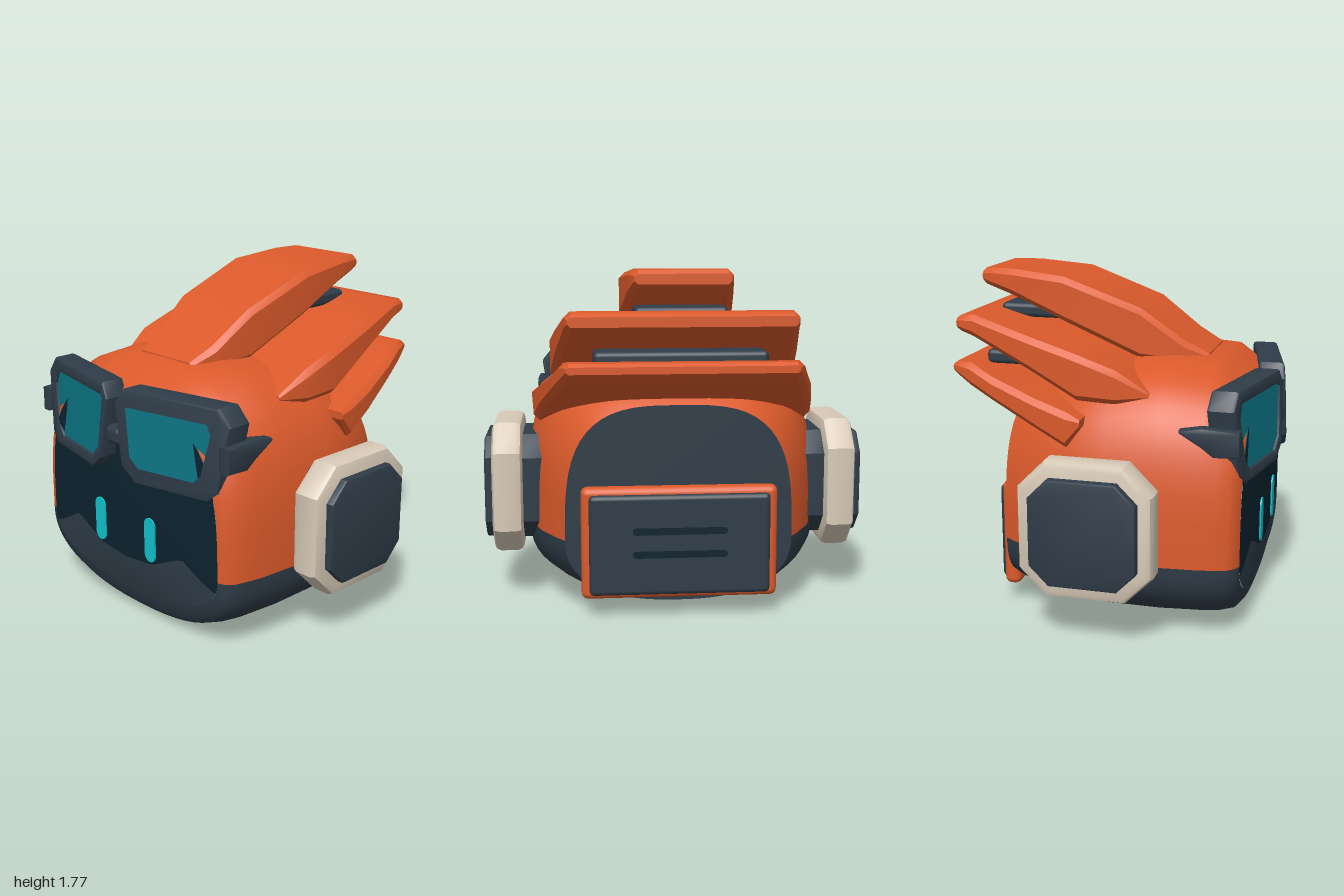
import * as THREE from 'three';
import { toCreasedNormals } from 'three/addons/utils/BufferGeometryUtils.js';
import { RoundedBoxGeometry } from 'three/addons/geometries/RoundedBoxGeometry.js';

const mat = (name, color, side = THREE.FrontSide) => {
  const m = new THREE.MeshStandardMaterial({ color, side });
  m.name = name;
  return m;
};

// Surface through cross-sections ordered front to back, each counter-clockwise seen from +z
function loft(rings, { closed = true, capFront = closed, capBack = closed, crease = 0.6 } = {}) {
  const n = rings[0].length, pos = rings.flat(2), idx = [];
  for (let i = 0; i < rings.length - 1; i++) {
    for (let j = 0; j < (closed ? n : n - 1); j++) {
      const k = (j + 1) % n, a = i * n + j, b = i * n + k, c = b + n, d = a + n;
      idx.push(a, d, c, a, c, b);
    }
  }
  const last = (rings.length - 1) * n;
  for (let j = 1; j < n - 1; j++) {
    if (capFront) idx.push(0, j, j + 1);
    if (capBack) idx.push(last, last + j + 1, last + j);
  }
  const g = new THREE.BufferGeometry();
  g.setAttribute('position', new THREE.Float32BufferAttribute(pos, 3));
  g.setIndex(idx);
  return toCreasedNormals(g, crease);
}

const shapeOf = (pts, s = 1) => new THREE.Shape(pts.map(([x, y]) => new THREE.Vector2(s * x, y)));

function bevelled(shape, depth, bevel) {
  const g = new THREE.ExtrudeGeometry(shape, {
    depth: depth - 2 * bevel, bevelThickness: bevel, bevelSize: bevel, bevelOffset: -bevel,
    bevelSegments: 2, curveSegments: 6,
  });
  return toCreasedNormals(g.translate(0, 0, bevel), 0.6);
}

// Octagon with half sizes a, b and corner cut c
const octagon = (a, b, c) => shapeOf([
  [a, -b + c], [a, b - c], [a - c, b], [-a + c, b], [-a, b - c], [-a, -b + c], [-a + c, -b], [a - c, -b]]);

// Thin stadium-shaped plate
function pill(w, h) {
  const r = Math.min(w, h) / 2, x = w / 2 - r, y = h / 2 - r, s = new THREE.Shape();
  s.absarc(x, y, r, 0, Math.PI / 2);
  s.absarc(-x, y, r, Math.PI / 2, Math.PI);
  s.absarc(-x, -y, r, Math.PI, Math.PI * 1.5);
  s.absarc(x, -y, r, Math.PI * 1.5, Math.PI * 2);
  return new THREE.ExtrudeGeometry(s, { depth: 0.008, bevelEnabled: false, curveSegments: 6 });
}

const SEAM = 0.4, UP = 3.2, LOW = 2.4;
// Half of a superellipse cross-section, above (dir 1) or below (dir -1) the seam
function arc(z, w, limit, dir) {
  const n = dir > 0 ? UP : LOW, pts = [];
  for (let i = 0; i <= 28; i++) {
    const t = Math.PI * i / 28, c = Math.cos(t);
    pts.push([dir * w * Math.sign(c) * Math.abs(c) ** (2 / n),
      SEAM + (limit - SEAM) * Math.abs(Math.sin(t)) ** (2 / n), z]);
  }
  return pts;
}

export function createModel() {
  const root = new THREE.Group();
  root.name = 'robotHead';
  const orange = mat('orange shell', 0xdb5a2b);
  const slate = mat('slate', 0x2f3c48);
  const navy = mat('dark face', 0x0c222e);
  const teal = mat('lens teal', 0x0b7482, THREE.DoubleSide);
  const cyan = mat('eye cyan', 0x10c2cc);
  const cream = mat('cream', 0xd8cab7);
  const add = (name, geo, material, x = 0, y = 0, z = 0, parent = root) => {
    const m = new THREE.Mesh(geo, material);
    m.name = name;
    m.position.set(x, y, z);
    parent.add(m);
    return m;
  };

  // Head shell: [z, half width, top, bottom]
  const head = [
    [0.69, 0.66, 1.2, 0.16], [0.675, 0.7, 1.225, 0.08], [0.64, 0.73, 1.25, 0.035], [0.57, 0.75, 1.3, 0.015],
    [0.5, 0.765, 1.35, 0.008], [0.27, 0.785, 1.365, 0], [0, 0.785, 1.345, 0], [-0.15, 0.77, 1.31, 0.01],
    [-0.35, 0.7, 1.22, 0.04], [-0.5, 0.62, 1.14, 0.06], [-0.56, 0.58, 1.09, 0.075]];
  const upper = head.map(([z, w, top]) => arc(z, w, top, 1));
  const lower = head.map(([z, w, , bot]) => arc(z, w, bot, -1));
  add('upperShell', loft(upper, { closed: false }), orange);
  add('lowerShell', loft(lower, { closed: false }), slate);
  const back = [...upper.at(-1), ...lower.at(-1).slice(1, -1)];
  add('backPanel', loft([back], { capFront: false }), slate);

  // Slightly domed front, divided into face screen and chin by a wavy line
  const [fz, fw, ft, fb] = head[0];
  const wave = [[0, 0.33], [0.2, 0.35], [0.34, 0.415], [0.42, 0.45], [0.55, 0.375], [0.66, 0.33]];
  const waveAt = (x) => {
    const i = Math.max(1, wave.findIndex((p) => p[0] >= x - 1e-6));
    const [a, b] = [wave[i - 1], wave[i]];
    return a[1] + (b[1] - a[1]) * (x - a[0]) / (b[0] - a[0]);
  };
  const faceStrip = (isFace) => {
    const rows = [];
    for (let r = 0; r <= 8; r++) {
      const row = [];
      for (let i = 0; i <= 40; i++) {
        const u = -Math.cos(Math.PI * i / 40), q = Math.abs(u);
        const top = SEAM + (ft - SEAM) * Math.max(0, 1 - q ** UP) ** (1 / UP);
        const bot = SEAM - (SEAM - fb) * Math.max(0, 1 - q ** LOW) ** (1 / LOW);
        const mid = Math.min(top, Math.max(bot, waveAt(q * fw)));
        const y = isFace ? mid + (top - mid) * r / 8 : bot + (mid - bot) * r / 8;
        const v = y > SEAM ? (y - SEAM) / (ft - SEAM) : (SEAM - y) / (SEAM - fb);
        row.push([u * fw, y, fz + 0.032 * Math.max(0, 1 - u * u) * Math.max(0, 1 - v * v)]);
      }
      rows.push(row);
    }
    return loft(rows.reverse(), { closed: false });
  };
  add('faceScreen', faceStrip(true), navy);
  add('chin', faceStrip(false), slate);

  // Swept hair slabs: [z, top, bottom, half width]
  const slab = (st) => loft(st.map(([z, t, b, w]) => {
    const c = Math.min(0.03, (t - b) * 0.3);
    return [[w, b + c, z], [w, t - c, z], [w - c, t, z], [-w + c, t, z],
      [-w, t - c, z], [-w, b + c, z], [-w + c, b, z], [w - c, b, z]];
  }), { crease: 0.55 });
  add('hairTop', slab([[0.43, 1.36, 1.3, 0.2], [0.3, 1.43, 1.3, 0.24], [0.08, 1.59, 1.33, 0.275],
    [-0.33, 1.74, 1.51, 0.29], [-0.62, 1.768, 1.63, 0.26], [-0.77, 1.768, 1.68, 0.24], [-0.79, 1.75, 1.7, 0.23]]), orange);
  add('hairMiddle', slab([[0.21, 1.23, 1.2, 0.6], [0.05, 1.34, 1.17, 0.65], [-0.15, 1.41, 1.18, 0.65],
    [-0.4, 1.48, 1.31, 0.62], [-0.72, 1.572, 1.46, 0.57], [-0.79, 1.565, 1.485, 0.56], [-0.81, 1.55, 1.5, 0.55]]), orange);
  add('hairLower', slab([[-0.1, 1.11, 1.07, 0.75], [-0.18, 1.14, 0.96, 0.74], [-0.35, 1.19, 1.04, 0.71],
    [-0.6, 1.27, 1.15, 0.64], [-0.73, 1.33, 1.21, 0.6], [-0.81, 1.33, 1.26, 0.57], [-0.83, 1.315, 1.28, 0.56]]), orange);
  add('hairSpacerUpper', new RoundedBoxGeometry(0.46, 0.075, 0.5, 2, 0.025), slate, 0, 1.55, -0.44);
  add('hairSpacerLower', new RoundedBoxGeometry(0.86, 0.075, 0.5, 2, 0.025), slate, 0, 1.335, -0.45);

  // Back pack with two vents
  add('packRim', new RoundedBoxGeometry(1.0, 0.58, 0.09, 2, 0.035), orange, 0, 0.39, -0.57);
  add('packCover', new RoundedBoxGeometry(0.92, 0.52, 0.08, 2, 0.025), slate, 0, 0.385, -0.6);
  for (const y of [0.46, 0.34]) add('packVent', pill(0.48, 0.035), navy, 0, y, -0.646);

  // Eyewear outlines for one side
  const rim = [[0.03, 1.2], [0.08, 1.275], [0.64, 1.275], [0.71, 1.19], [0.66, 0.86], [0.6, 0.805], [0.17, 0.805], [0.08, 0.88]];
  const hole = [[0.085, 1.19], [0.1, 1.205], [0.595, 1.205], [0.625, 1.14], [0.575, 0.92], [0.525, 0.87], [0.185, 0.87], [0.12, 0.93]];
  // Sweeps the flat eyewear back toward the temples
  const sweep = (g) => {
    const p = g.attributes.position;
    for (let i = 0; i < p.count; i++) {
      p.setZ(i, p.getZ(i) - 0.21 * Math.abs(p.getX(i)) - 0.06 * (p.getY(i) - 0.8));
    }
    return toCreasedNormals(g, 0.6);
  };

  for (const s of [1, -1]) {
    const side = s > 0 ? 'left' : 'right';
    add(side + 'Eye', pill(0.08, 0.24), cyan, s * 0.2, 0.49, 0.722);

    // Glasses
    const frame = shapeOf(rim, s);
    frame.holes.push(new THREE.Path(hole.map(([x, y]) => new THREE.Vector2(s * x, y))));
    add(side + 'GlassesFrame', sweep(bevelled(frame, 0.14, 0.018).translate(0, 0, 0.69)), slate);
    const lens = new THREE.ShapeGeometry(shapeOf(hole.map(([x, y]) => [0.35 + (x - 0.35) * 1.03, 1.04 + (y - 1.04) * 1.03]), s));
    add(side + 'Lens', sweep(lens.translate(0, 0, 0.815)), teal);
    const arm = shapeOf([[-0.69, 0.97], [-0.69, 1.1], [-0.5, 1.11], [-0.39, 1.09], [-0.39, 1.075], [-0.5, 1.01], [-0.56, 0.965]]);
    add(side + 'GlassesArm', bevelled(arm, 0.07, 0.015).rotateY(Math.PI / 2), slate, s > 0 ? 0.665 : -0.735);

    // Ear pads
    const ear = new THREE.Group();
    ear.name = side + 'Ear';
    ear.position.set(0, 0.607, -0.02);
    ear.rotation.y = s * Math.PI / 2;
    root.add(ear);
    add('earMount', bevelled(octagon(0.28, 0.28, 0.11), 0.18, 0.01), slate, 0, 0, 0.66, ear);
    add('earRing', bevelled(octagon(0.34, 0.347, 0.14), 0.16, 0.035), cream, 0, 0, 0.8, ear);
    add('earPad', bevelled(octagon(0.27, 0.272, 0.1), 0.1, 0.012), slate, 0, 0, 0.9, ear);
  }
  add('glassesBridge', new RoundedBoxGeometry(0.12, 0.095, 0.09, 2, 0.03), slate, 0, 1.015, 0.75);
  return root;
}
